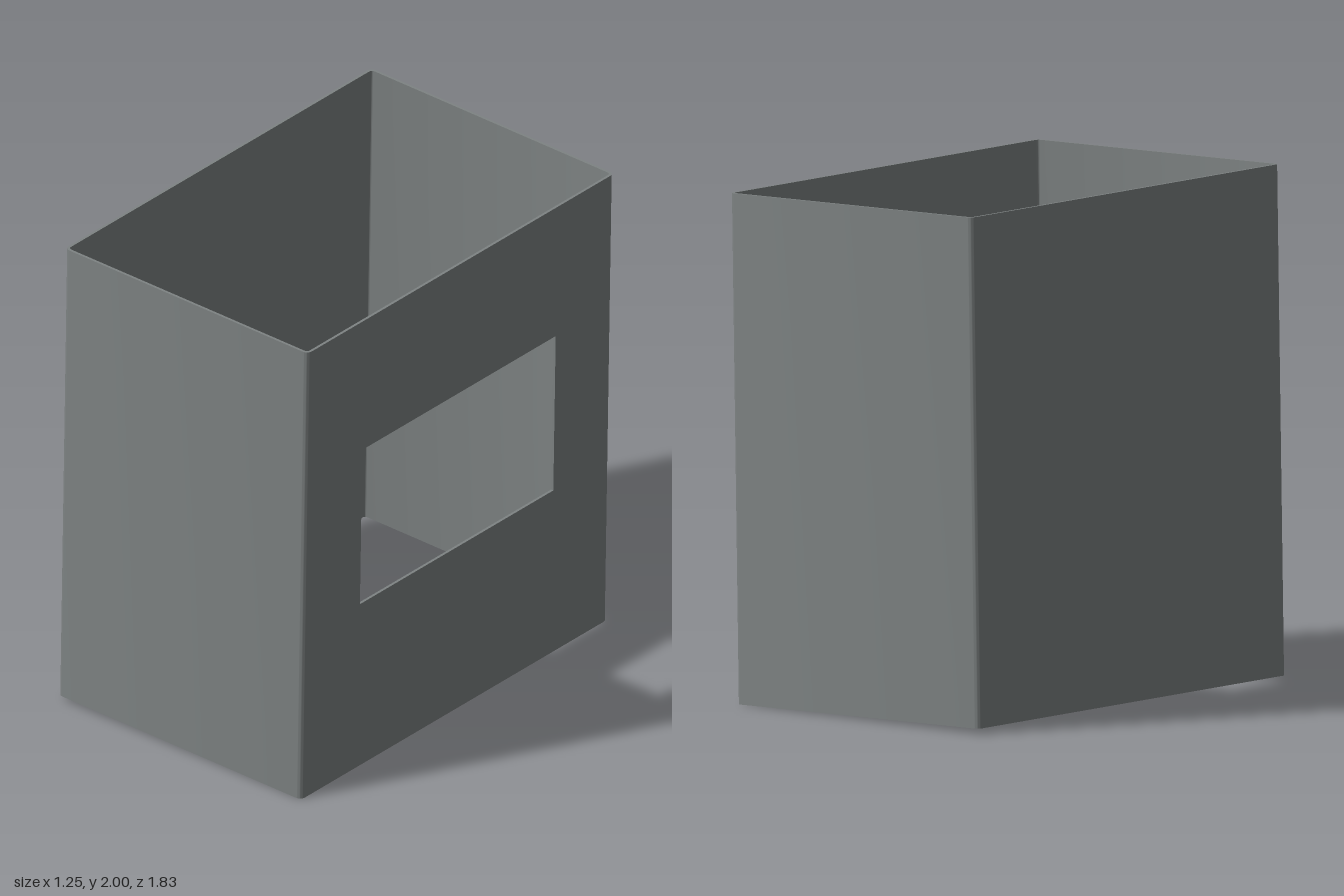
import * as THREE from 'three';
import { toCreasedNormals } from 'three/addons/utils/BufferGeometryUtils.js';

const W = 0.6085, H = 0.9895, D = 0.915; // half width, height and depth
const T = 0.011, R = 0.025;              // wall thickness, outer corner radius
const TILT = THREE.MathUtils.degToRad(-1);

export function createModel() {
  const grey = new THREE.MeshStandardMaterial({ color: 0x7e8383 });
  grey.name = 'grey metal';

  const sleeve = new THREE.Group();
  sleeve.name = 'sleeve';
  const add = (name, geometry) => {
    const mesh = new THREE.Mesh(toCreasedNormals(geometry, 0.5), grey);
    mesh.name = name;
    sleeve.add(mesh);
  };
  const extrude = (shape, depth) =>
    new THREE.ExtrudeGeometry(shape, { depth, bevelEnabled: false, curveSegments: 8 });

  // Front, back and closed side walls with all four rounded corners
  const x = W - R, z = D - R, r = R - T, q = Math.PI / 2;
  const section = new THREE.Shape();
  section.moveTo(W, z);
  section.absarc(x, z, R, 0, q, false);
  section.absarc(-x, z, R, q, 2 * q, false);
  section.absarc(-x, -z, R, 2 * q, 3 * q, false);
  section.absarc(x, -z, R, 3 * q, 4 * q, false);
  section.lineTo(W - T, -z);
  section.absarc(x, -z, r, 4 * q, 3 * q, true);
  section.absarc(-x, -z, r, 3 * q, 2 * q, true);
  section.absarc(-x, z, r, 2 * q, q, true);
  section.absarc(x, z, r, q, 0, true);
  section.closePath();
  add('threeWalls', extrude(section, 2 * H).rotateX(-q).translate(0, -H, 0));

  // Side wall with a rectangular window
  const wall = new THREE.Shape();
  wall.moveTo(-z, -H).lineTo(z, -H).lineTo(z, H).lineTo(-z, H).closePath();
  const hole = new THREE.Path();
  const hz = 0.577, y0 = -0.269, y1 = 0.416;
  hole.moveTo(-hz, y0).lineTo(-hz, y1).lineTo(hz, y1).lineTo(hz, y0).closePath();
  wall.holes.push(hole);
  add('windowWall', extrude(wall, T).rotateY(q).translate(W - T, 0, 0));

  // Slight lean towards the window side
  sleeve.rotation.z = TILT;
  sleeve.position.y = 1;

  const model = new THREE.Group();
  model.name = 'openSleeve';
  model.add(sleeve);
  return model;
}
